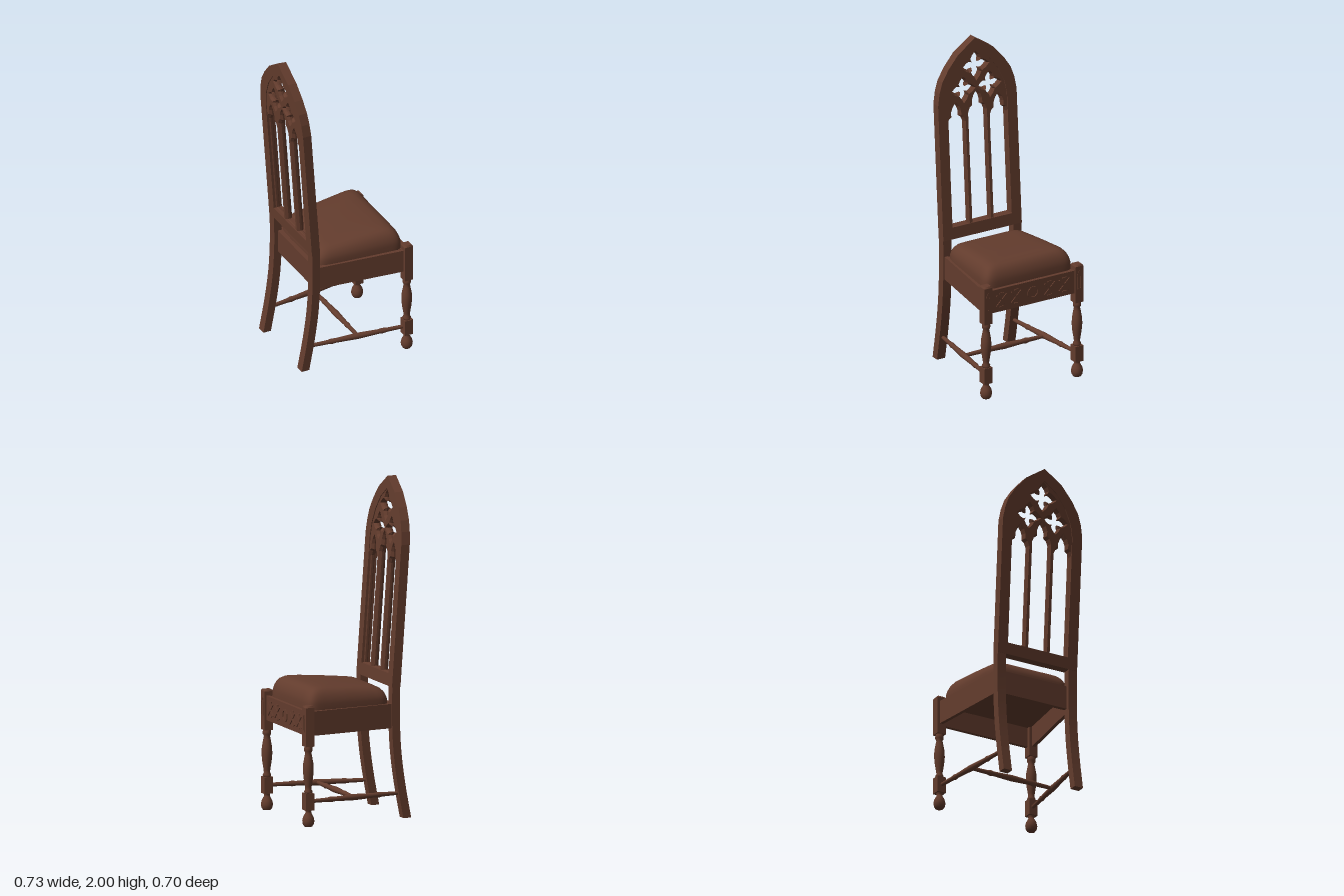
import * as THREE from 'three';

const wood = new THREE.MeshStandardMaterial({ color: 0x633c2d });
wood.name = 'darkWood';

// Centre line of the back: splayed feet, straight at the seat, raked above it
const lean = new THREE.CatmullRomCurve3(
  [[-0.324, 0], [-0.288, 0.2], [-0.262, 0.4], [-0.252, 0.6], [-0.253, 0.78]].map(([x, y]) => new THREE.Vector3(x, y, 0)));
const leanX = (y) => (y > 0.78 ? -0.253 - (y - 0.78) * 0.0705 : lean.getPoint(THREE.MathUtils.clamp(y / 0.78, 0, 1)).x);

// Shift every vertex along x so that it follows the leaning back
function followLean(geo) {
  const p = geo.attributes.position;
  for (let i = 0; i < p.count; i++) p.setX(i, p.getX(i) + leanX(p.getY(i)));
  geo.computeVertexNormals();
  return geo;
}

const points = (list) => list.map(([x, y]) => new THREE.Vector2(x, y));
const mirrored = (half) => points([...half, ...half.slice(0, -1).reverse().map(([x, y]) => [-x, y])]);

// Gothic window with cusped head
function lancet(c, w, bottom, spring, apex) {
  const h = apex - spring;
  const half = [[w, bottom], [w, spring], [w * 0.8, spring + h * 0.22], [w * 0.46, spring + h * 0.32],
    [w * 0.46, spring + h * 0.6], [w * 0.28, spring + h * 0.82], [0, apex]];
  return new THREE.Path(mirrored(half).map((p) => p.setX(p.x + c)));
}

// Four pointed lobes round a centre
function quatrefoil(cx, cy, r) {
  const lobe = points([[0.23, 0.23], [0.33, 0.52], [0.2, 0.78], [0, 1], [-0.2, 0.78], [-0.33, 0.52]]);
  const all = [];
  for (let k = 0; k < 4; k++) {
    for (const p of lobe) {
      const q = p.clone().rotateAround(new THREE.Vector2(), k * Math.PI / 2).multiplyScalar(r);
      all.push(q.add(new THREE.Vector2(cx, cy)));
    }
  }
  return new THREE.Path(all);
}

// Lathe between two points
function turnedBar(profile, a, b) {
  const dir = b.clone().sub(a);
  const geo = new THREE.LatheGeometry(points(profile.map(([t, r]) => [r, t * dir.length()])), 12);
  geo.applyQuaternion(new THREE.Quaternion().setFromUnitVectors(new THREE.Vector3(0, 1, 0), dir.normalize()));
  return geo.translate(a.x, a.y, a.z);
}

// Padded cushion made of stacked rounded-trapezoid rings
function cushionGeometry() {
  const rows = [[0, 0], [0, 0.3], [0.006, 0.5], [0.016, 0.68], [0.032, 0.84], [0.054, 0.94], [0.085, 0.985], [0.14, 1], [0.22, 1]];
  const n = 64, pos = [], idx = [];
  const pw = (v) => Math.sign(v) * Math.pow(Math.abs(v), 0.2);
  const add = (ux, uz, inset, t) => {
    const x = 0.047 + ux * (0.27 - inset);
    const z = uz * (0.278 + (x - 0.047) * 0.105 - inset);
    const height = 0.102 + 0.033 * THREE.MathUtils.smoothstep(x, -0.3, 0.25);
    pos.push(x, 0.68 + t * height, z);
  };
  rows.forEach(([inset, t]) => {
    for (let i = 0; i < n; i++) {
      const a = (i / n) * Math.PI * 2;
      add(pw(Math.cos(a)), pw(Math.sin(a)), inset, t);
    }
  });
  add(0, 0, 0, 1);
  const top = rows.length * n;
  for (let j = 0; j < rows.length; j++) {
    for (let i = 0; i < n; i++) {
      const a = j * n + i, b = j * n + (i + 1) % n;
      if (j < rows.length - 1) idx.push(a, a + n, b, b, a + n, b + n);
      else idx.push(a, top, b);
    }
  }
  const geo = new THREE.BufferGeometry();
  geo.setAttribute('position', new THREE.Float32BufferAttribute(pos, 3));
  geo.setIndex(idx);
  geo.computeVertexNormals();
  return geo;
}

export function createModel() {
  const model = new THREE.Group();
  const add = (name, geo, parent = model) => {
    const mesh = new THREE.Mesh(geo, wood);
    mesh.name = name;
    parent.add(mesh);
    return mesh;
  };
  const box = (name, w, h, d, x, y, z, parent) => {
    const mesh = add(name, new THREE.BoxGeometry(w, h, d), parent);
    mesh.position.set(x, y, z);
    return mesh;
  };
  const V = (x, y, z) => new THREE.Vector3(x, y, z);

  // Pointed back frame
  const outer = [[0.27, 0.785], [0.27, 1.63], [0.257, 1.705], [0.235, 1.77], [0.19, 1.84], [0.12, 1.92], [0, 2]];
  const inner = [[0.204, 0.858], [0.204, 1.61], [0.19, 1.69], [0.15, 1.78], [0.085, 1.865], [0, 1.925]];
  const frame = new THREE.Shape(mirrored(outer));
  frame.holes.push(new THREE.Path(mirrored(inner)));
  const frameGeo = new THREE.ExtrudeGeometry(frame, { depth: 0.054, bevelEnabled: false });
  add('backFrame', followLean(frameGeo.translate(0, 0, -0.027).rotateY(Math.PI / 2)));

  // Chamfered tracery with three windows and three quatrefoils
  const panel = new THREE.Shape(mirrored(inner.map(([x, y], i) => [x && x + 0.02, y + (i ? 0.02 : -0.02)])));
  panel.holes.push(lancet(0, 0.055, 0.86, 1.54, 1.665), quatrefoil(0, 1.825, 0.08));
  for (const s of [1, -1]) panel.holes.push(lancet(s * 0.146, 0.054, 0.86, 1.495, 1.615), quatrefoil(s * 0.09, 1.692, 0.07));
  const panelGeo = new THREE.ExtrudeGeometry(panel,
    { depth: 0.012, bevelThickness: 0.016, bevelSize: 0.01, bevelOffset: -0.01, bevelSegments: 1 });
  add('backTracery', followLean(panelGeo.translate(0, 0, -0.006).rotateY(Math.PI / 2)));

  // Seat: cushion, board and apron
  add('cushion', cushionGeometry());
  const board = new THREE.Shape(points([[-0.225, -0.245], [0.325, -0.3], [0.325, 0.3], [-0.225, 0.245]]));
  add('seatBoard', new THREE.ExtrudeGeometry(board, { depth: 0.02, bevelEnabled: false }).rotateX(Math.PI / 2).translate(0, 0.682, 0));
  box('frontApron', 0.022, 0.145, 0.58, 0.331, 0.6125, 0);
  box('backApron', 0.025, 0.145, 0.45, -0.24, 0.6125, 0);

  // Carved relief across the front apron
  const carving = new THREE.Group();
  carving.name = 'apronCarving';
  model.add(carving);
  const bar = (len, y, z, turn) => { box('carvedBar', 0.007, 0.009, len, 0.344, y, z, carving).rotation.x = turn; };
  for (const z of [-0.215, -0.115, 0.115, 0.215]) {
    for (const s of [1, -1]) {
      bar(0.1, 0.612, z, s * Math.PI / 4);
      bar(0.028, 0.612 + s * 0.043, z, 0);
    }
  }
  for (let k = 0; k < 8; k++) {
    const a = (k / 8) * Math.PI * 2;
    bar(0.028, 0.612 + Math.sin(a) * 0.032, Math.cos(a) * 0.032, Math.PI / 2 - a);
  }

  // Parts repeated on both sides
  const legProfile = [[0, 0.195], [0.022, 0.195], [0.025, 0.21], [0.018, 0.222], [0.02, 0.24], [0.028, 0.29], [0.032, 0.335],
    [0.03, 0.375], [0.022, 0.42], [0.018, 0.44], [0.025, 0.452], [0.025, 0.465], [0.022, 0.48]];
  const footProfile = [[0, 0], [0.024, 0], [0.033, 0.014], [0.036, 0.034], [0.031, 0.056], [0.018, 0.08], [0.017, 0.09], [0.023, 0.102]];
  const arch = new THREE.Shape(mirrored([[0.015, 0.565], [0.015, 0.645], [0.01, 0.67], [0, 0.685]]));
  arch.holes.push(new THREE.Path(mirrored([[0.009, 0.572], [0.009, 0.642], [0.006, 0.66], [0, 0.67]])));
  const archGeo = new THREE.ExtrudeGeometry(arch, { depth: 0.004, bevelEnabled: false }).rotateY(Math.PI / 2).translate(0.026, 0, 0);
  const spindle = [[0, 0.01], [0.08, 0.012], [0.2, 0.013], [0.24, 0.017], [0.28, 0.014], [0.5, 0.019],
    [0.72, 0.014], [0.76, 0.017], [0.8, 0.013], [0.92, 0.012], [1, 0.01]];
  for (const s of [1, -1]) {
    // Seen facing +z, the -z parts are at the rear and the +z parts at the front
    const side = s > 0 ? 'near' : 'far';
    // Curved back leg
    const post = new THREE.BoxGeometry(0.05, 0.8, 0.056, 1, 12, 1).translate(0, 0.4, s * 0.242);
    add(side + 'BackLeg', followLean(post));

    // Turned front leg with square blocks
    const leg = new THREE.Group();
    leg.name = side + 'FrontLeg';
    leg.position.set(0.326, 0, s * 0.313);
    model.add(leg);
    add('turnedShaft', new THREE.LatheGeometry(points(legProfile), 16), leg);
    add('ballFoot', new THREE.LatheGeometry(points(footProfile), 16), leg);
    box('lowerBlock', 0.054, 0.1, 0.056, 0, 0.148, 0, leg);
    box('upperBlock', 0.054, 0.232, 0.056, 0, 0.594, 0, leg);
    const cap = add('blockCap', new THREE.CylinderGeometry(0.03, 0.039, 0.01, 4, 1).rotateY(Math.PI / 4), leg);
    cap.position.y = 0.715;
    add('carvedArch', archGeo, leg);

    // Side apron and side stretcher
    const apron = box(side + 'Apron', 0.545, 0.145, 0.022, 0.04, 0.6125, s * 0.283);
    apron.rotation.y = -s * 0.122;
    add(side + 'Stretcher', turnedBar(spindle, V(-0.29, 0.148, s * 0.243), V(0.32, 0.148, s * 0.312)));
  }

  // Cross stretcher joining the two side stretchers
  add('crossStretcher', turnedBar(spindle, V(0.02, 0.148, -0.278), V(0.02, 0.148, 0.278)));
  return model;
}
